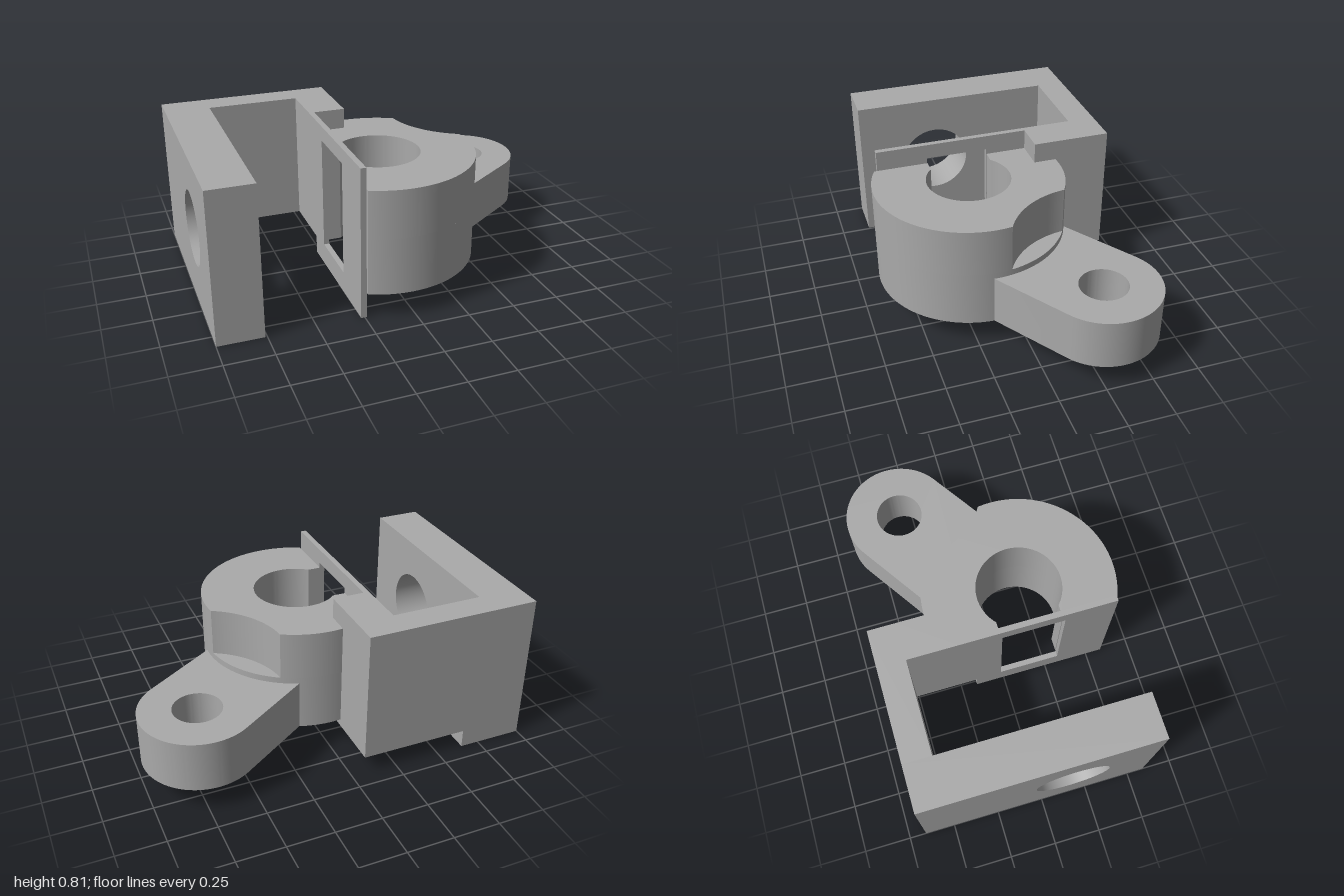
import * as THREE from 'three';
import { toCreasedNormals } from 'three/addons/utils/BufferGeometryUtils.js';

export function createModel() {
  const model = new THREE.Group();
  model.name = 'clampBracket';
  const grey = new THREE.MeshStandardMaterial({ color: 0xaaaaaa });
  grey.name = 'machinedGrey';

  const add = (name, geometry) => {
    const mesh = new THREE.Mesh(geometry, grey);
    mesh.name = name;
    model.add(mesh);
  };
  const extrude = (shape, depth) =>
    new THREE.ExtrudeGeometry(shape, { depth, bevelEnabled: false, curveSegments: 48 });
  // Plan shape drawn in (x, -z), raised from y0 to y1
  const raise = (name, shape, y0, y1) =>
    add(name, toCreasedNormals(extrude(shape, y1 - y0).rotateX(-Math.PI / 2).translate(0, y0, 0), 0.5));
  // Side shape drawn in (-z, y), thickened from x0 to x1
  const thicken = (name, shape, x0, x1) =>
    add(name, toCreasedNormals(extrude(shape, x1 - x0).rotateY(Math.PI / 2).translate(x0, 0, 0), 0.5));
  const box = (name, x0, x1, y0, y1, z0, z1) =>
    add(name, new THREE.BoxGeometry(x1 - x0, y1 - y0, z1 - z0)
      .translate((x0 + x1) / 2, (y0 + y1) / 2, (z0 + z1) / 2));
  const polygon = (points) => new THREE.Shape(points.map(([x, y]) => new THREE.Vector2(x, y)));
  const roundHole = (shape, x, y, r) =>
    shape.holes.push(new THREE.Path().absarc(x, y, r, 0, Math.PI * 2, true));

  // Side wall with cross bore
  const wall = polygon([[-0.59, 0], [0.66, 0], [0.66, 0.81], [-0.59, 0.81]]);
  roundHole(wall, -0.147, 0.42, 0.195);
  thicken('sideWall', wall, -1, -0.76);

  // Back bridge, its foot and the corner block
  box('backBridge', -0.76, -0.07, 0.1, 0.81, -0.66, -0.51);
  box('bridgeFoot', -0.76, -0.65, 0, 0.1, -0.66, -0.51);
  box('cornerBlock', -0.27, -0.07, 0.1, 0.81, -0.51, -0.24);

  // Thin face plate with rectangular window
  const plate = polygon([[-0.59, 0], [0.16, 0], [0.16, 0.1], [0.24, 0.1], [0.24, 0.81], [-0.59, 0.81]]);
  plate.holes.push(new THREE.Path([[-0.317, 0.117], [-0.317, 0.73], [0.017, 0.73], [0.017, 0.117]]
    .map(([x, y]) => new THREE.Vector2(x, y))));
  thicken('facePlate', plate, -0.27, -0.24);

  // Centres and radii of the ring and the arm eye, in plan
  const C = { x: -0.02, y: -0.147, r: 0.51, bore: 0.225 };
  const E = { x: 0.70, y: 0.335, r: 0.30, bore: 0.127, clearance: 0.46 };
  const d = Math.hypot(E.x - C.x, E.y - C.y);
  const axis = Math.atan2(E.y - C.y, E.x - C.x);

  // Slotted ring outline, optionally scalloped around the arm eye
  const ringShape = (scalloped) => {
    const flat = -0.24, slot = 0.167;
    const start = -Math.acos((flat - C.x) / C.r);
    const end = Math.acos((-0.07 - C.x) / C.r);
    const inner = Math.PI - Math.asin(slot / C.bore);
    const s = new THREE.Shape();
    s.moveTo(flat, C.y - slot);
    s.lineTo(flat, C.y + C.r * Math.sin(start));
    if (scalloped) {
      const q = E.clearance;
      const phi = Math.acos((C.r ** 2 + d * d - q * q) / (2 * C.r * d));
      const psi = Math.acos((q * q + d * d - C.r ** 2) / (2 * q * d));
      s.absarc(C.x, C.y, C.r, start, axis - phi, false);
      s.absarc(E.x, E.y, q, axis + Math.PI + psi, axis + Math.PI - psi, true);
      s.absarc(C.x, C.y, C.r, axis + phi, end, false);
    } else {
      s.absarc(C.x, C.y, C.r, start, end, false);
    }
    s.lineTo(-0.07, 0.24);
    s.lineTo(flat, 0.24);
    s.lineTo(flat, C.y + slot);
    s.absarc(C.x, C.y, C.bore, inner, -inner, true);
    s.closePath();
    return s;
  };
  raise('ringLower', ringShape(false), 0.14, 0.443);
  raise('ringUpper', ringShape(true), 0.443, 0.70);

  // Arm with round eye, rooted on the ring
  const half = Math.asin(E.r / C.r);
  const arm = new THREE.Shape();
  arm.absarc(E.x, E.y, E.r, axis - Math.PI / 2, axis + Math.PI / 2, false);
  arm.absarc(C.x, C.y, C.r, axis + half, axis - half, true);
  arm.closePath();
  roundHole(arm, E.x, E.y, E.bore);
  raise('eyeArm', arm, 0.14, 0.41);

  return model;
}
